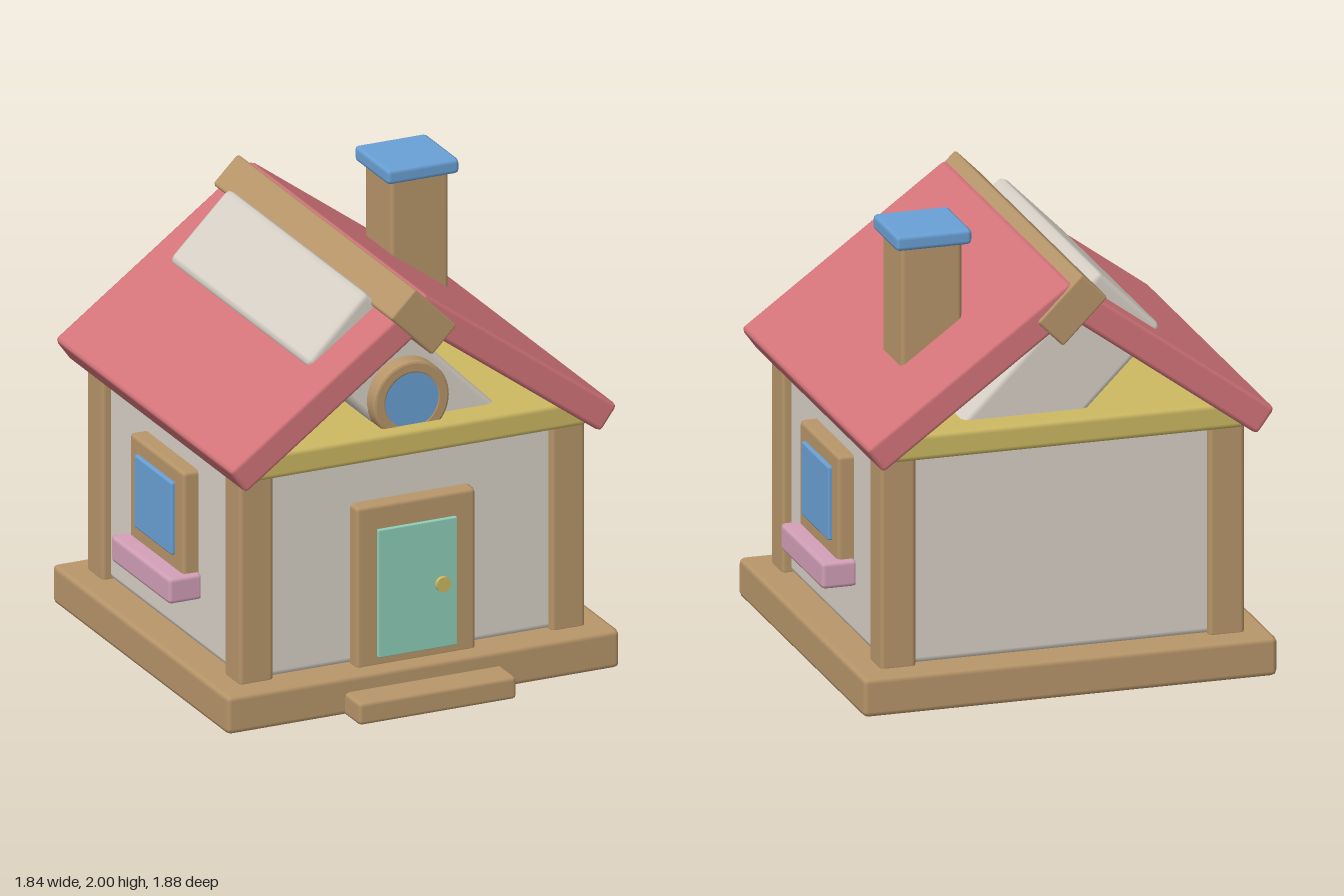
import * as THREE from 'three';
import { RoundedBoxGeometry } from 'three/addons/geometries/RoundedBoxGeometry.js';

const material = (name, color) => {
  const m = new THREE.MeshStandardMaterial({ color });
  m.name = name;
  return m;
};

export function createModel() {
  const house = new THREE.Group();
  house.name = 'house';
  const wood = material('tan wood', 0xb8966a);
  const plaster = material('pale plaster', 0xd8d1c7);
  const red = material('roof red', 0xd4757a);
  const blue = material('window blue', 0x6aa1d6);
  const mint = material('door mint', 0x8fcfba);
  const pink = material('planter pink', 0xd3a0b8);
  const yellow = material('beam yellow', 0xcdb963);

  const add = (name, geometry, mat, x, y, z) => {
    const mesh = new THREE.Mesh(geometry, mat);
    mesh.name = name;
    mesh.position.set(x, y, z);
    house.add(mesh);
    return mesh;
  };
  // Softly bevelled box given by its [min, max] range on each axis
  const block = (name, mat, [x0, x1], [y0, y1], [z0, z1], bevel = 0.025) =>
    add(name, new RoundedBoxGeometry(x1 - x0, y1 - y0, z1 - z0, 1, bevel), mat,
      (x0 + x1) / 2, (y0 + y1) / 2, (z0 + z1) / 2);

  // Foundation, step and walls
  block('foundation', wood, [-0.92, 0.92], [0, 0.175], [-0.93, 0.8]);
  block('doorStep', wood, [-0.37, 0.37], [0, 0.105], [0.7, 0.94], 0.02);
  block('walls', plaster, [-0.77, 0.77], [0.17, 1.13], [-0.79, 0.66], 0.03);
  block('ceilingSlab', yellow, [-0.8, 0.8], [1.1, 1.22], [-0.87, 0.74]);

  // Corner posts
  for (const x of [-0.73, 0.73])
    for (const z of [-0.74, 0.61])
      block('cornerPost', wood, [x - 0.08, x + 0.08], [0.16, 1.12], [z - 0.08, z + 0.08], 0.02);

  // Door
  block('doorFrame', wood, [-0.28, 0.28], [0.16, 0.9], [0.6, 0.725], 0.02);
  block('door', mint, [-0.185, 0.185], [0.21, 0.79], [0.65, 0.742], 0.005);
  const knob = add('doorKnob', new THREE.CylinderGeometry(0.034, 0.034, 0.03, 20), yellow, 0.113, 0.5, 0.745);
  knob.rotation.x = Math.PI / 2;

  // Side windows with planters
  for (const s of [-1, 1]) {
    const span = (a, b) => (s > 0 ? [a, b] : [-b, -a]);
    block('windowFrame', wood, span(0.72, 0.842), [0.47, 0.97], [-0.33, 0.2], 0.02);
    block('windowPane', blue, span(0.75, 0.86), [0.57, 0.9], [-0.25, 0.12], 0.01);
    block('planter', pink, span(0.76, 0.92), [0.39, 0.51], [-0.355, 0.225], 0.02);
  }

  // Tilted attic block and ridge beam
  const attic = add('atticBlock', new RoundedBoxGeometry(0.4, 0.95, 1.36, 1, 0.03), plaster, 0.011, 1.349, -0.07);
  attic.rotation.z = Math.PI / 4;
  const ridge = add('ridgeBeam', new RoundedBoxGeometry(0.28, 0.165, 1.75, 1, 0.012), wood, -0.005, 1.728, -0.065);
  ridge.rotation.z = -Math.PI / 4;

  // Two sloping roof panels, placed by the outer eave corner
  const slope = 0.63, length = 1.12, thick = 0.135;
  for (const s of [-1, 1]) {
    const x = 0.91 - Math.cos(slope) * length / 2 - Math.sin(slope) * thick / 2;
    const y = 1.193 + Math.sin(slope) * length / 2 - Math.cos(slope) * thick / 2;
    const panel = add('roofPanel', new RoundedBoxGeometry(length, thick, 1.73, 1, 0.02), red, s * x, y, -0.065);
    panel.rotation.z = -s * slope;
  }

  // Round gable window
  const ringShape = new THREE.Shape().absarc(0, 0, 0.165, 0, Math.PI * 2);
  ringShape.holes.push(new THREE.Path().absarc(0, 0, 0.13, 0, Math.PI * 2, true));
  add('gableWindowFrame', new THREE.ExtrudeGeometry(ringShape, {
    depth: 0.09, bevelEnabled: true, bevelThickness: 0.012, bevelSize: 0.012, bevelSegments: 2, curveSegments: 32,
  }), wood, 0, 1.328, 0.58);
  const pane = add('gableWindowPane', new THREE.CylinderGeometry(0.125, 0.125, 0.1, 32), blue, 0, 1.328, 0.63);
  pane.rotation.x = Math.PI / 2;

  // Chimney
  block('chimney', wood, [0.347, 0.619], [1.2, 1.95], [-0.515, -0.25], 0.02);
  block('chimneyCap', blue, [0.315, 0.653], [1.93, 2], [-0.553, -0.215], 0.02);

  return house;
}
